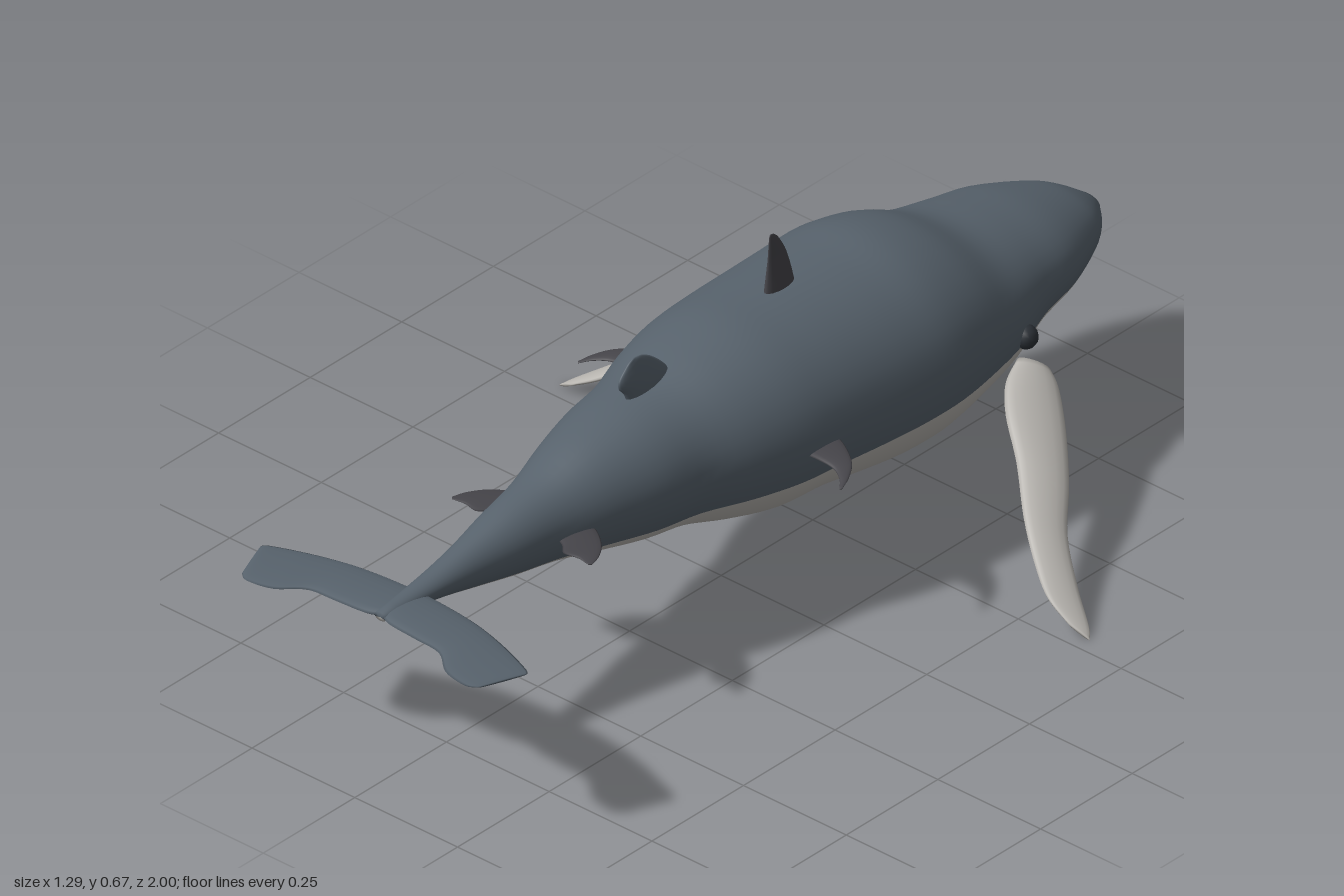
import * as THREE from 'three';

const material = (name, color) => Object.assign(new THREE.MeshStandardMaterial({ color }), { name });
const V = (x, y, z) => new THREE.Vector3(x, y, z);

// Smooth closed skin through equal rings; group lists [first, count, material] quads around a ring
function loft(rings, split) {
  const n = rings[0].length, pos = [], parts = [[], []];
  for (const r of rings) for (const p of r) pos.push(p.x, p.y, p.z);
  for (const r of [rings[0], rings.at(-1)]) {
    const c = r.reduce((s, p) => s.add(p), V(0, 0, 0)).divideScalar(n);
    pos.push(c.x, c.y, c.z);
  }
  const m = rings.length, c0 = n * m;
  for (let j = 0; j < n; j++) {
    const k = (j + 1) % n, out = parts[j < split ? 0 : 1], e = (m - 1) * n;
    out.push(c0, k, j, c0 + 1, e + j, e + k);
    for (let i = 0; i < m - 1; i++) {
      const a = i * n + j, b = i * n + k;
      out.push(a, b, a + n, b, b + n, a + n);
    }
  }
  const g = new THREE.BufferGeometry();
  g.setAttribute('position', new THREE.Float32BufferAttribute(pos, 3));
  g.setIndex([...parts[0], ...parts[1]]);
  g.addGroup(0, parts[0].length, 0);
  g.addGroup(parts[0].length, parts[1].length, 1);
  g.computeVertexNormals();
  return g;
}

// Lens-section fin from root to tip; each section is [leading point, trailing point, half thickness]
function fin(sections, normal, side = 1) {
  const flip = p => V(p.x * side, p.y, p.z);
  const lead = new THREE.CatmullRomCurve3(sections.map(s => flip(s[0])), false, 'catmullrom');
  const trail = new THREE.CatmullRomCurve3(sections.map(s => flip(s[1])), false, 'catmullrom');
  const count = (sections.length - 1) * 5, rings = [];
  const along = lead.getPoint(1).add(trail.getPoint(1)).sub(lead.getPoint(0)).sub(trail.getPoint(0));
  const up = flip(normal).normalize();
  const chord = trail.getPoint(0).sub(lead.getPoint(0));
  if (chord.cross(up).dot(along) < 0) up.negate();
  for (let i = 0; i <= count; i++) {
    const t = i / count, f = t * (sections.length - 1), k = Math.min(Math.floor(f), sections.length - 2);
    const thick = THREE.MathUtils.lerp(sections[k][2], sections[k + 1][2], f - k);
    const a = lead.getPoint(t), b = trail.getPoint(t);
    const mid = a.clone().add(b).multiplyScalar(0.5), half = b.sub(a).multiplyScalar(0.5);
    rings.push(Array.from({ length: 16 }, (_, j) => {
      const q = j / 16 * Math.PI * 2;
      return mid.clone().addScaledVector(half, Math.cos(q)).addScaledVector(up, thick * Math.sin(q));
    }));
  }
  return loft(rings, 16);
}

// Body stations: z, top, bottom, half width, height of the colour seam
const STATIONS = [
  [-1, 0.35, 0.32, 0.03, 0.335], [-0.95, 0.385, 0.297, 0.08, 0.33], [-0.9, 0.41, 0.27, 0.112, 0.325],
  [-0.8, 0.443, 0.245, 0.155, 0.315], [-0.7, 0.463, 0.22, 0.175, 0.308], [-0.6, 0.483, 0.18, 0.205, 0.3],
  [-0.5, 0.53, 0.15, 0.227, 0.294], [-0.4, 0.554, 0.13, 0.24, 0.29], [-0.3, 0.554, 0.133, 0.24, 0.288],
  [-0.2, 0.554, 0.147, 0.234, 0.288], [-0.1, 0.555, 0.163, 0.226, 0.289], [0, 0.555, 0.166, 0.215, 0.29],
  [0.1, 0.54, 0.19, 0.19, 0.29], [0.2, 0.517, 0.22, 0.155, 0.291], [0.3, 0.503, 0.235, 0.138, 0.294],
  [0.4, 0.482, 0.257, 0.11, 0.3], [0.5, 0.45, 0.28, 0.08, 0.306], [0.6, 0.43, 0.296, 0.062, 0.315],
  [0.7, 0.406, 0.316, 0.042, 0.328], [0.8, 0.386, 0.337, 0.028, 0.344], [0.93, 0.37, 0.352, 0.014, 0.357],
];

function bodyGeometry() {
  const shape = new THREE.CatmullRomCurve3(STATIONS.map(s => V(s[1], s[2], s[3])), false, 'catmullrom');
  const line = new THREE.CatmullRomCurve3(STATIONS.map(s => V(s[0], s[4], 0)), false, 'catmullrom');
  const rings = [], steps = (STATIONS.length - 1) * 4, half = 24;
  for (let i = 0; i <= steps; i++) {
    const { x: top, y: bottom, z: width } = shape.getPoint(i / steps);
    const { x: z, y: seam } = line.getPoint(i / steps);
    const cy = (top + bottom) / 2, ry = (top - bottom) / 2;
    const a0 = Math.asin(THREE.MathUtils.clamp((seam - cy) / ry, -0.95, 0.95));
    const ring = [];
    for (let j = 0; j < half * 2; j++) {
      const q = j < half ? a0 + (Math.PI - 2 * a0) * j / half
        : Math.PI - a0 + (Math.PI + 2 * a0) * (j - half) / half;
      ring.push(V(width * Math.cos(q), cy + ry * Math.sin(q), z));
    }
    rings.push(ring);
  }
  return loft(rings, half);
}

export function createModel() {
  const skin = material('slate skin', 0x57626c);
  const pale = material('pale underside', 0xb9b6b1);
  const dark = material('dark fin', 0x454449);
  const black = material('eye', 0x2b3036);
  const model = new THREE.Group();
  model.name = 'whale';
  const add = (name, geometry, mat) => {
    const mesh = new THREE.Mesh(geometry, mat);
    mesh.name = name;
    model.add(mesh);
    return mesh;
  };

  add('body', bodyGeometry(), [skin, pale]);

  // Upright fins on the back
  add('dorsalFin', fin([
    [V(0, 0.5, -0.205), V(0, 0.5, -0.115), 0.017], [V(0, 0.56, -0.195), V(0, 0.56, -0.12), 0.013],
    [V(0, 0.62, -0.178), V(0, 0.62, -0.127), 0.006], [V(0, 0.66, -0.156), V(0, 0.666, -0.131), 0.003],
    [V(0, 0.673, -0.143), V(0, 0.675, -0.134), 0.001],
  ], V(1, 0, 0)), dark);
  add('rearDorsalFin', fin([
    [V(0, 0.48, 0.12), V(0, 0.48, 0.25), 0.018], [V(0, 0.53, 0.15), V(0, 0.52, 0.265), 0.016],
    [V(0, 0.565, 0.185), V(0, 0.54, 0.28), 0.011], [V(0, 0.584, 0.215), V(0, 0.557, 0.277), 0.006],
    [V(0, 0.588, 0.24), V(0, 0.58, 0.255), 0.002],
  ], V(1, 0, 0)), skin);

  for (const [side, label] of [[1, 'left'], [-1, 'right']]) {
    // Long drooping flipper lying in a sloped plane
    const p = (x, z) => V(x, 0.262 - 0.58 * (x - 0.2), z);
    add(label + 'Flipper', fin([
      [p(0.235, -0.635), p(0.19, -0.595), 0.013], [p(0.27, -0.62), p(0.215, -0.535), 0.018],
      [p(0.335, -0.566), p(0.26, -0.485), 0.018], [p(0.41, -0.49), p(0.335, -0.43), 0.017],
      [p(0.48, -0.407), p(0.42, -0.355), 0.014], [p(0.56, -0.345), p(0.495, -0.302), 0.011],
      [p(0.625, -0.303), p(0.55, -0.274), 0.007], [p(0.645, -0.282), p(0.605, -0.27), 0.003],
    ], V(0.5, 0.86, 0), side), pale);

    // Small swept fins along the flank and tail stock
    add(label + 'FlankFin', fin([
      [V(0.19, 0.357, -0.085), V(0.19, 0.353, 0.005), 0.006], [V(0.235, 0.356, -0.07), V(0.225, 0.352, -0.002), 0.005],
      [V(0.285, 0.353, -0.037), V(0.27, 0.349, -0.002), 0.004], [V(0.31, 0.348, -0.002), V(0.3, 0.346, 0.014), 0.003],
      [V(0.322, 0.343, 0.03), V(0.318, 0.342, 0.034), 0.001],
    ], V(0, 1, 0), side), dark);
    add(label + 'TailFin', fin([
      [V(0.06, 0.36, 0.44), V(0.05, 0.36, 0.515), 0.006], [V(0.1, 0.36, 0.452), V(0.085, 0.36, 0.53), 0.005],
      [V(0.14, 0.361, 0.483), V(0.107, 0.361, 0.55), 0.004], [V(0.162, 0.361, 0.515), V(0.137, 0.361, 0.545), 0.003],
      [V(0.171, 0.361, 0.543), V(0.165, 0.361, 0.549), 0.001],
    ], V(0, 1, 0), side), dark);

    // Half of the tail fluke with a wavy trailing edge
    add(label + 'Fluke', fin([
      [V(0, 0.362, 0.822), V(0, 0.362, 0.925), 0.009], [V(0.03, 0.362, 0.823), V(0.03, 0.362, 0.94), 0.009],
      [V(0.1, 0.361, 0.827), V(0.1, 0.361, 0.945), 0.008], [V(0.165, 0.36, 0.836), V(0.16, 0.36, 0.95), 0.007],
      [V(0.24, 0.359, 0.856), V(0.21, 0.359, 0.988), 0.006], [V(0.31, 0.358, 0.882), V(0.265, 0.358, 0.998), 0.004],
      [V(0.324, 0.357, 0.892), V(0.288, 0.357, 0.985), 0.002],
    ], V(0, 1, 0), side), skin);

    const eye = add(label + 'Eye', new THREE.SphereGeometry(0.024, 12, 8), black);
    eye.position.set(side * 0.2, 0.314, -0.607);
  }
  return model;
}
